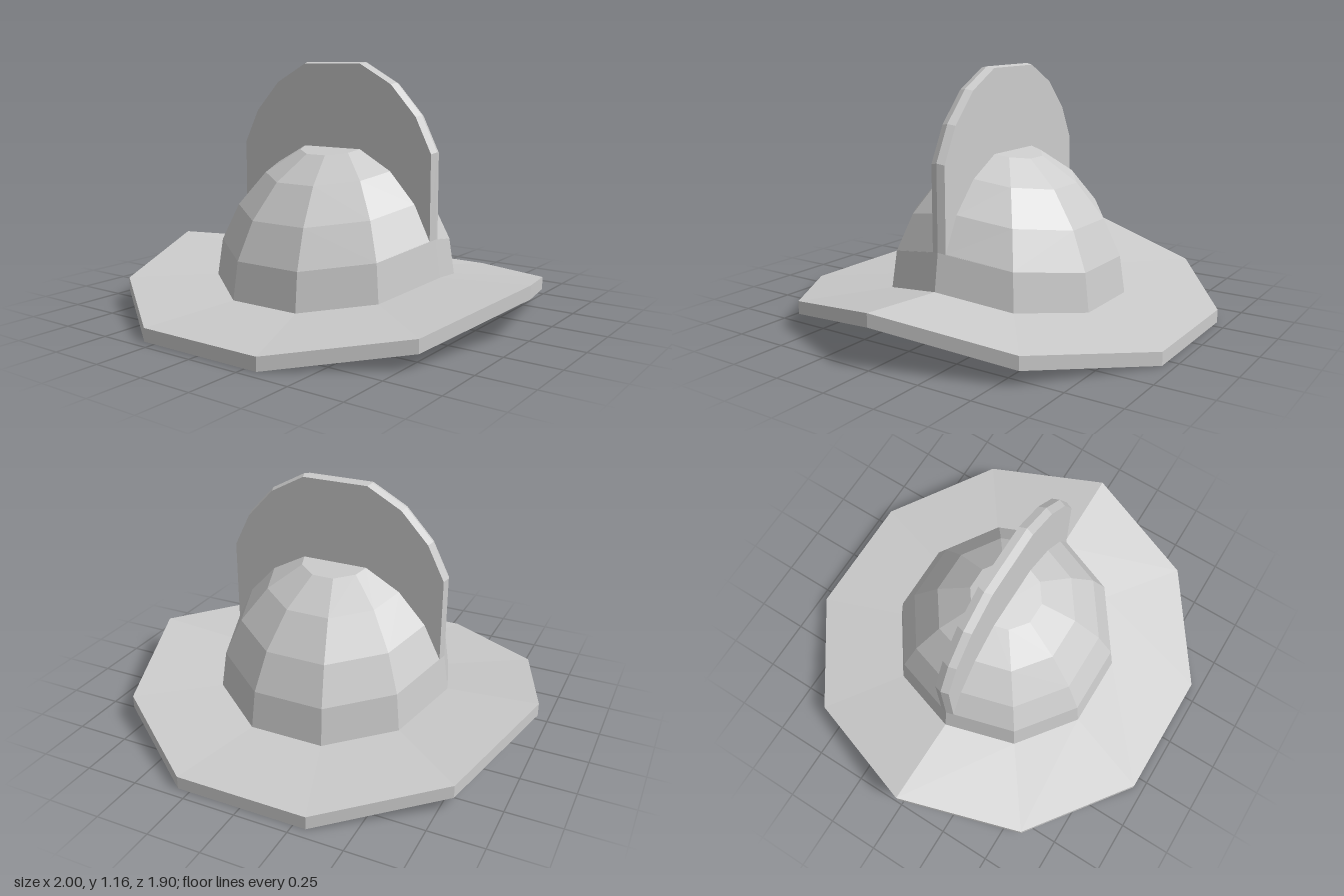
import * as THREE from 'three';

const SLOPE = 0.19;  // everything falls away to front and back
const T = 0.035;     // half thickness of the crest
const CHAMFER = 0.011;
const LIFT = 0.39;   // height of the crest above the crown
const RINGS = [[0.545, 0.38], [0.465, 0.54], [0.335, 0.68], [0.17, 0.77]];

const material = new THREE.MeshStandardMaterial({
  color: 0xcccccc, flatShading: true, side: THREE.DoubleSide,
});

// Moves every vertex by a rule, then lowers it by its distance from z = 0
function shape(geometry, rule) {
  const pos = geometry.attributes.position;
  const v = new THREE.Vector3();
  for (let i = 0; i < pos.count; i++) {
    v.fromBufferAttribute(pos, i);
    if (rule) rule(v, i);
    v.y -= SLOPE * Math.abs(v.z);
    pos.setXYZ(i, v.x, v.y, v.z);
  }
  geometry.computeVertexNormals();
  return geometry;
}

function part(name, geometry) {
  const mesh = new THREE.Mesh(geometry, material);
  mesh.name = name;
  return mesh;
}

const profile = (points) => points.map(([x, y]) => new THREE.Vector2(x, y));

export function createModel() {
  const group = new THREE.Group();
  group.name = 'helmet';

  // Brim: thin sheet with a turned-down rim
  const brim = new THREE.LatheGeometry(
    profile([[0.57, 0.21], [1, 0.24], [1, 0.18]]), 10, Math.PI / 2);
  group.add(part('brim', shape(brim)));

  // Crown: two half shells, with a slot between them under the crest
  const crownPoints = [[0.57, 0.21], RINGS[0], [0.544, 0.382], ...RINGS.slice(1), [0, 0.77]];
  for (const side of [1, -1]) {
    const half = new THREE.LatheGeometry(profile(crownPoints), 5, -Math.PI / 2, Math.PI);
    shape(half, (v) => {
      if (Math.abs(v.z) < 1e-4) {
        v.z = 0;
        if (v.y > 0.381) {
          v.z = T;
          if (Math.abs(v.x) > 0.01) v.x -= Math.sign(v.x) * CHAMFER;
        }
      }
      v.z *= side;
    });
    group.add(part(side > 0 ? 'frontCrown' : 'backCrown', half));
  }

  // Crest: hollow, open below; rows run up one side, over the edge and down the other
  const arch = [...RINGS, ...RINGS.map(([x, y]) => [-x, y]).reverse()];
  const columns = [arch[0], ...arch, arch[arch.length - 1]];
  const last = columns.length - 1;
  const rows = [[T, 0], [T, LIFT], [0, LIFT], [-T, LIFT], [-T, 0]];
  const crest = new THREE.PlaneGeometry(1, 1, last, rows.length - 1);
  shape(crest, (v, i) => {
    const c = i % (last + 1);
    const [z, lift] = rows[Math.floor(i / (last + 1))];
    const [x, y] = columns[c];
    const depth = c === 0 || c === last ? 0 : z;  // ends close to a ridge
    v.set(x - (depth ? Math.sign(x) * CHAMFER : 0), y + lift, depth);
  });
  group.add(part('crest', crest));

  return group;
}
